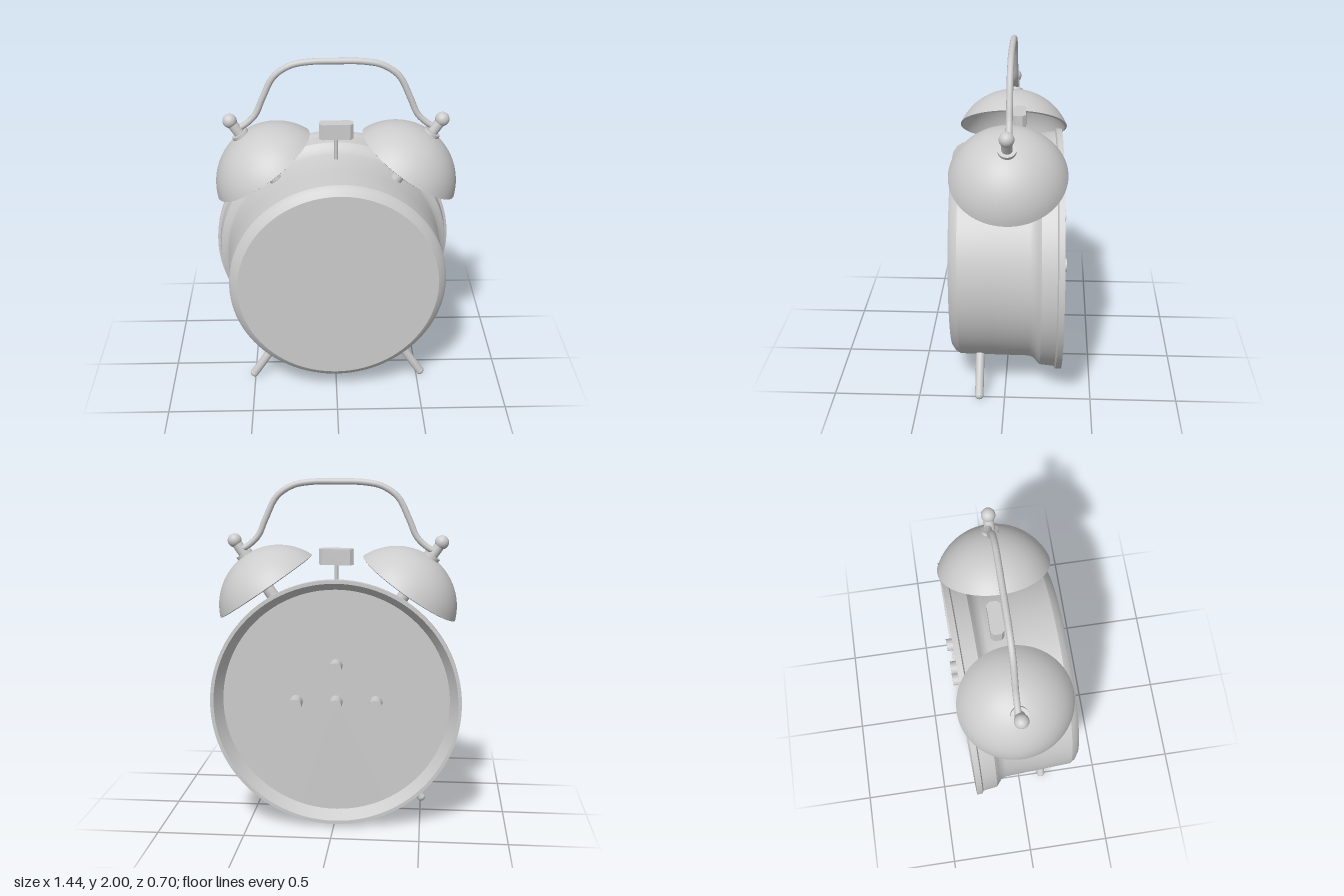
import * as THREE from 'three';
import { toCreasedNormals } from 'three/addons/utils/BufferGeometryUtils.js';

const V = (x, y, z) => new THREE.Vector3(x, y, z);

export function createModel() {
  const model = new THREE.Group();
  model.name = 'alarmClock';
  const grey = new THREE.MeshStandardMaterial({ color: 0xcccccc });
  grey.name = 'plain grey';

  function add(parent, name, geometry) {
    const mesh = new THREE.Mesh(geometry, grey);
    mesh.name = name;
    parent.add(mesh);
    return mesh;
  }

  // Profile turned about y, keeping sharp corners crisp
  function turned(points, segments = 96) {
    const g = new THREE.LatheGeometry(points.map(([r, y]) => new THREE.Vector2(r, y)), segments);
    return toCreasedNormals(g, 0.5);
  }

  // Round rod between two points
  function rod(parent, name, a, b, radius, segments = 24) {
    const dir = b.clone().sub(a);
    const mesh = add(parent, name, new THREE.CylinderGeometry(radius, radius, dir.length(), segments));
    mesh.position.copy(a).add(b).multiplyScalar(0.5);
    mesh.quaternion.setFromUnitVectors(V(0, 1, 0), dir.normalize());
    return mesh;
  }

  // Case: drum with a chamfered front, flared back rim and recessed back plate
  const body = new THREE.Group();
  body.name = 'body';
  body.position.y = 0.735;
  body.rotation.y = 0.03;
  model.add(body);
  const caseGeometry = turned([
    [0, -0.24], [0.655, -0.24], [0.7, -0.315], [0.72, -0.315], [0.72, -0.282],
    [0.704, -0.275], [0.694, -0.19], [0.675, -0.172], [0.655, -0.155], [0.643, -0.125],
    [0.637, 0.1], [0.632, 0.275], [0.615, 0.303], [0.583, 0.325], [0, 0.325],
  ]);
  caseGeometry.rotateX(Math.PI / 2);
  add(body, 'case', caseGeometry);

  // Winding knobs on the back plate
  for (const [x, y] of [[0, 0], [0, 0.215], [-0.23, 0], [0.23, 0]]) {
    rod(body, 'backKnob', V(x, y, -0.235), V(x, y, -0.345), 0.038);
  }

  // Hollow bell dome: outer and inner spherical arcs
  const bellProfile = [];
  const R = 0.353, edge = 1.182, steps = 20, thick = 0.012;
  for (let i = 0; i <= steps; i++) {
    const a = edge * i / steps;
    bellProfile.push([(R - thick) * Math.sin(a), (R - thick) * Math.cos(a) - 0.133]);
  }
  for (let i = steps; i >= 0; i--) {
    const a = edge * i / steps;
    bellProfile.push([R * Math.sin(a), R * Math.cos(a) - 0.133]);
  }
  const bellGeometry = turned(bellProfile, 72);

  for (const side of [-1, 1]) {
    const label = side > 0 ? 'left' : 'right';

    // Bell with its post, collar, stem and ball finial
    const bell = new THREE.Group();
    bell.name = label + 'Bell';
    bell.position.set(side * 0.42 + 0.004, 1.37, -0.018);
    bell.rotation.z = -side * 0.6;
    model.add(bell);
    add(bell, 'bellDome', bellGeometry);
    rod(bell, 'bellPost', V(0, -0.18, 0), V(0, 0.21, 0), 0.036);
    rod(bell, 'bellCollar', V(0, 0.205, 0), V(0, 0.235, 0), 0.05);
    rod(bell, 'bellStem', V(0, 0.22, 0), V(0, 0.31, 0), 0.03);
    add(bell, 'bellFinial', new THREE.SphereGeometry(0.041, 24, 16)).position.y = 0.325;

    // Splayed leg with a rounded foot
    const leg = new THREE.Group();
    leg.name = label + 'Leg';
    leg.position.x = 0.008;
    model.add(leg);
    const foot = V(side * 0.513, 0.028, 0.147);
    rod(leg, 'legRod', V(side * 0.365, 0.255, 0.147), foot, 0.025);
    add(leg, 'foot', new THREE.SphereGeometry(0.026, 20, 14)).position.copy(foot);
  }

  // Carrying handle arched between the two bell stems
  const half = [[0.565, 1.585], [0.515, 1.615], [0.46, 1.67], [0.415, 1.77], [0.35, 1.895], [0.257, 1.958], [0.15, 1.979]];
  const path = [
    ...half.map(([x, y]) => V(-x, y, -0.026)),
    V(0, 1.982, -0.026),
    ...half.map(([x, y]) => V(x, y, -0.026)).reverse(),
  ];
  const handle = add(model, 'handle', new THREE.TubeGeometry(new THREE.CatmullRomCurve3(path), 96, 0.018, 16));
  handle.position.x = 0.005;

  // Hammer: bar with clipped corners on a thin stem
  const hammer = new THREE.Group();
  hammer.name = 'hammer';
  hammer.position.set(0.005, 0, -0.066);
  model.add(hammer);
  const w = 0.098, d = 0.038, c = 0.018;
  const outline = new THREE.Shape([
    [-w + c, -d], [w - c, -d], [w, -d + c], [w, d - c],
    [w - c, d], [-w + c, d], [-w, d - c], [-w, -d + c],
  ].map(([x, y]) => new THREE.Vector2(x, y)));
  const head = new THREE.ExtrudeGeometry(outline, { depth: 0.092, bevelEnabled: false });
  head.rotateX(-Math.PI / 2);
  add(hammer, 'hammerHead', head).position.y = 1.51;
  rod(hammer, 'hammerStem', V(0, 1.36, 0), V(0, 1.52, 0), 0.011, 16);

  return model;
}
